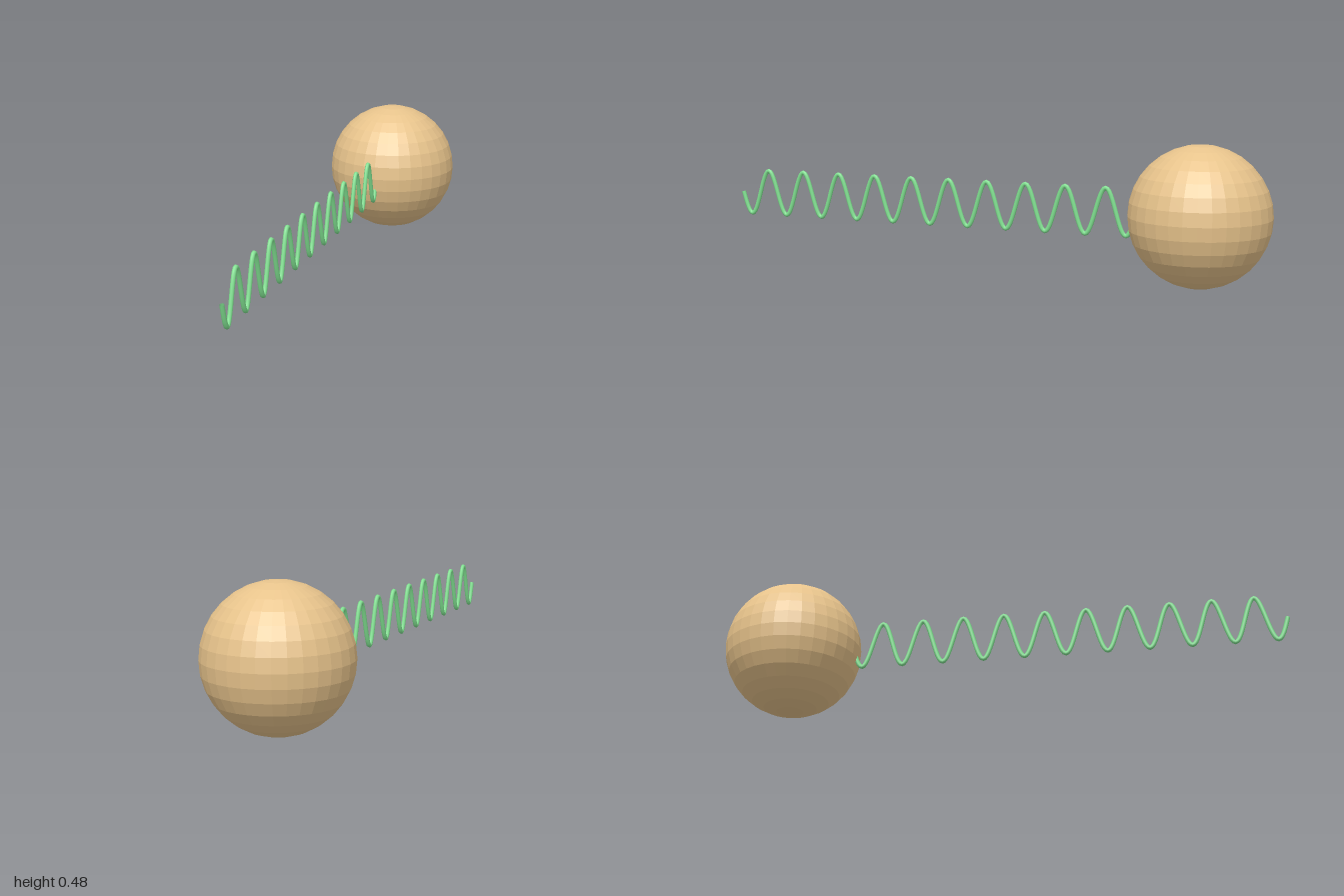
import * as THREE from 'three';

const RADIUS = 0.242;
const CENTER = new THREE.Vector3(0, 0.243, -0.758);
const WAVES = 12;
const AMPLITUDE = 0.081;
const TAIL_TIP = 0.992;

// Sine wave in the vertical plane, from the tip to the ball's centre
class WaveCurve extends THREE.Curve {
  getPoint(t, target = new THREE.Vector3()) {
    return target.set(
      0,
      CENTER.y - AMPLITUDE * Math.sin(t * WAVES * Math.PI * 2),
      THREE.MathUtils.lerp(TAIL_TIP, CENTER.z, t)
    );
  }
  // Even steps along the wave keep every crest the same shape
  getPointAt(t, target) {
    return this.getPoint(t, target);
  }
  getTangentAt(t, target) {
    return this.getTangent(t, target);
  }
}

export function createModel() {
  const model = new THREE.Group();
  model.name = 'ballWithWavyTail';

  const tan = new THREE.MeshStandardMaterial({ color: 0xe8c48c, flatShading: true });
  tan.name = 'tan';
  const green = new THREE.MeshStandardMaterial({ color: 0x80e090, side: THREE.DoubleSide });
  green.name = 'green';

  // Faceted round head
  const head = new THREE.Mesh(new THREE.SphereGeometry(RADIUS, 32, 16), tan);
  head.name = 'head';
  head.position.copy(CENTER);
  model.add(head);

  // Thin wavy tail
  const tail = new THREE.Mesh(new THREE.TubeGeometry(new WaveCurve(), WAVES * 24, 0.008, 8), green);
  tail.name = 'tail';
  model.add(tail);

  return model;
}
